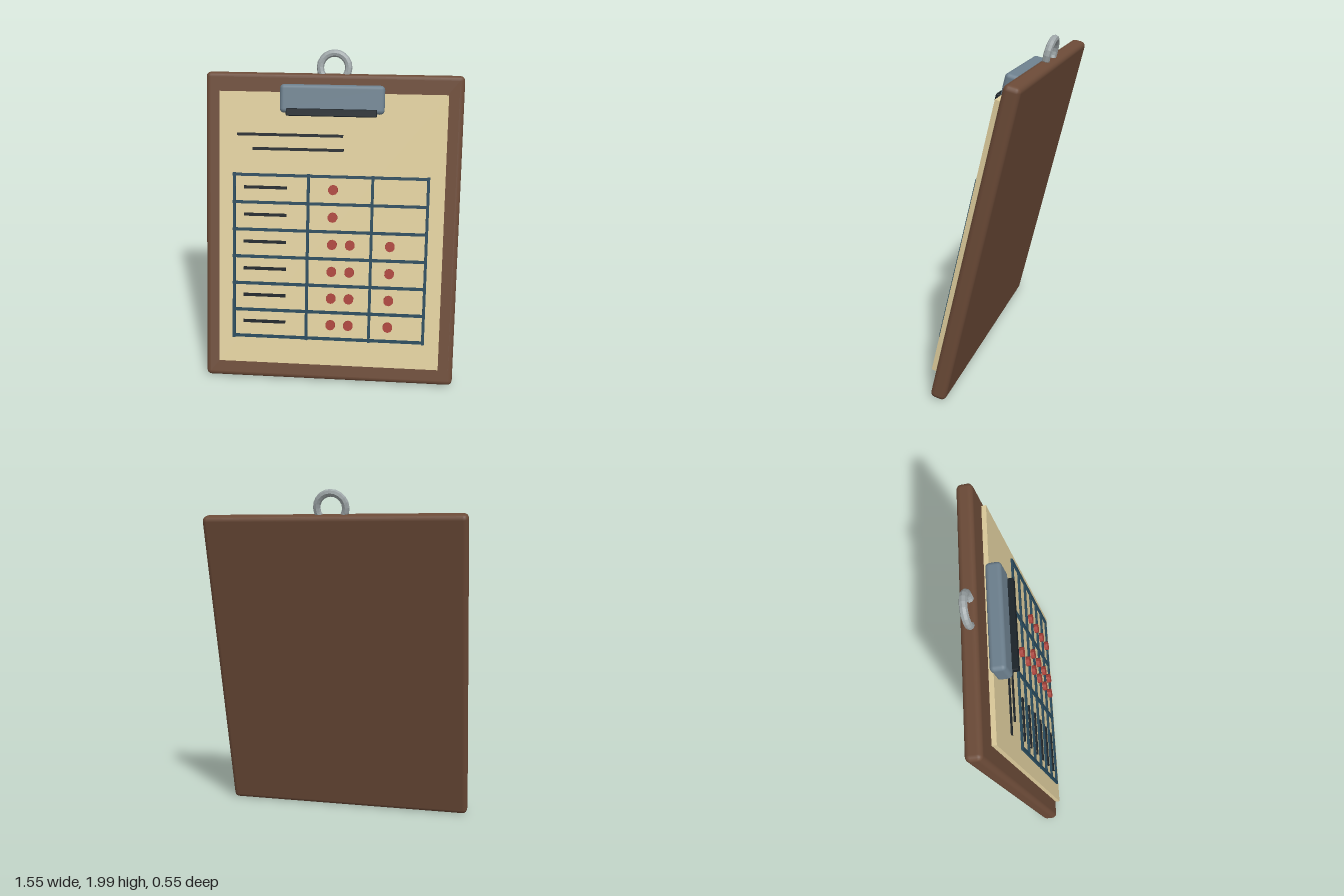
import * as THREE from 'three';
import { RoundedBoxGeometry } from 'three/addons/geometries/RoundedBoxGeometry.js';

const TILT = 0.24;
const CENTRE_Y = 0.932;

function material(name, color, flatShading = false) {
  const m = new THREE.MeshStandardMaterial({ color, flatShading });
  m.name = name;
  return m;
}

export function createModel() {
  const model = new THREE.Group();
  model.name = 'clipboard';

  const wood = material('brown wood', 0x6b4a37);
  const paper = material('cream paper', 0xdccb9b);
  const steel = material('blue grey steel', 0x6c7f8d);
  const rubber = material('black rubber', 0x1b2329);
  const ink = material('dark ink', 0x1d2328);
  const gridBlue = material('grid blue', 0x27485a);
  const red = material('red marks', 0xa8423a, true);
  const ringGrey = material('ring grey', 0x9ea6a8, true);

  // Everything sits on a board that leans back
  const leaning = new THREE.Group();
  leaning.name = 'leaningBoard';
  leaning.position.set(0, CENTRE_Y, -0.004);
  leaning.rotation.x = -TILT;
  model.add(leaning);

  function add(name, geometry, mat, x, y, z) {
    const mesh = new THREE.Mesh(geometry, mat);
    mesh.name = name;
    mesh.position.set(x, y, z);
    leaning.add(mesh);
    return mesh;
  }
  const box = (name, mat, w, h, d, x, y, z) =>
    add(name, new THREE.BoxGeometry(w, h, d), mat, x, y, z);
  // Position along the board for a height above the ground
  const along = (height, z) => (height - CENTRE_Y - z * Math.sin(TILT)) / Math.cos(TILT);

  // Backing board and sheet
  add('board', new RoundedBoxGeometry(1.55, 1.9, 0.095, 2, 0.03), wood, 0, 0, 0);
  box('sheet', paper, 1.36, 1.67, 0.027, 0, 0, 0.079);

  // Clip with its dark lip
  add('clip', new RoundedBoxGeometry(0.615, 0.167, 0.09, 2, 0.025), steel, 0, 0.798, 0.124);
  add('clipLip', new RoundedBoxGeometry(0.53, 0.044, 0.042, 1, 0.006), rubber, 0, 0.72, 0.181);

  // Hanging ring, sunk into the top edge
  add('hangingRing', new THREE.TorusGeometry(0.085, 0.022, 8, 20), ringGrey, 0, 0.986, 0.012);

  // Heading lines
  const inkZ = 0.113;
  box('headingLine', ink, 0.635, 0.017, 0.009, -0.25, along(1.525, inkZ), inkZ);
  box('headingLine', ink, 0.545, 0.017, 0.009, -0.2, along(1.443, inkZ), inkZ);

  // Table grid
  const gridZ = 0.113;
  for (let i = 0; i < 7; i++) {
    box('gridRow', gridBlue, 1.18, 0.017, 0.013, -0.003, along(1.29 - i * 0.162, gridZ), gridZ);
  }
  for (const x of [-0.583, -0.135, 0.25, 0.58]) {
    box('gridColumn', gridBlue, 0.017, 1.025, 0.013, x, along(0.803, gridZ), gridZ);
  }

  // Row labels and round marks
  const markZ = 0.125;
  const mark = new THREE.CylinderGeometry(0.03, 0.03, 0.024, 10).rotateX(Math.PI / 2);
  for (let i = 0; i < 6; i++) {
    const height = 1.217 - i * 0.1615;
    box('rowLabel', ink, 0.26, 0.018, 0.009, -0.395, along(height, inkZ), inkZ);
    for (const x of i < 2 ? [0.015] : [0.015, 0.123, 0.364]) {
      add('mark', mark, red, x, along(height, markZ), markZ);
    }
  }

  return model;
}
